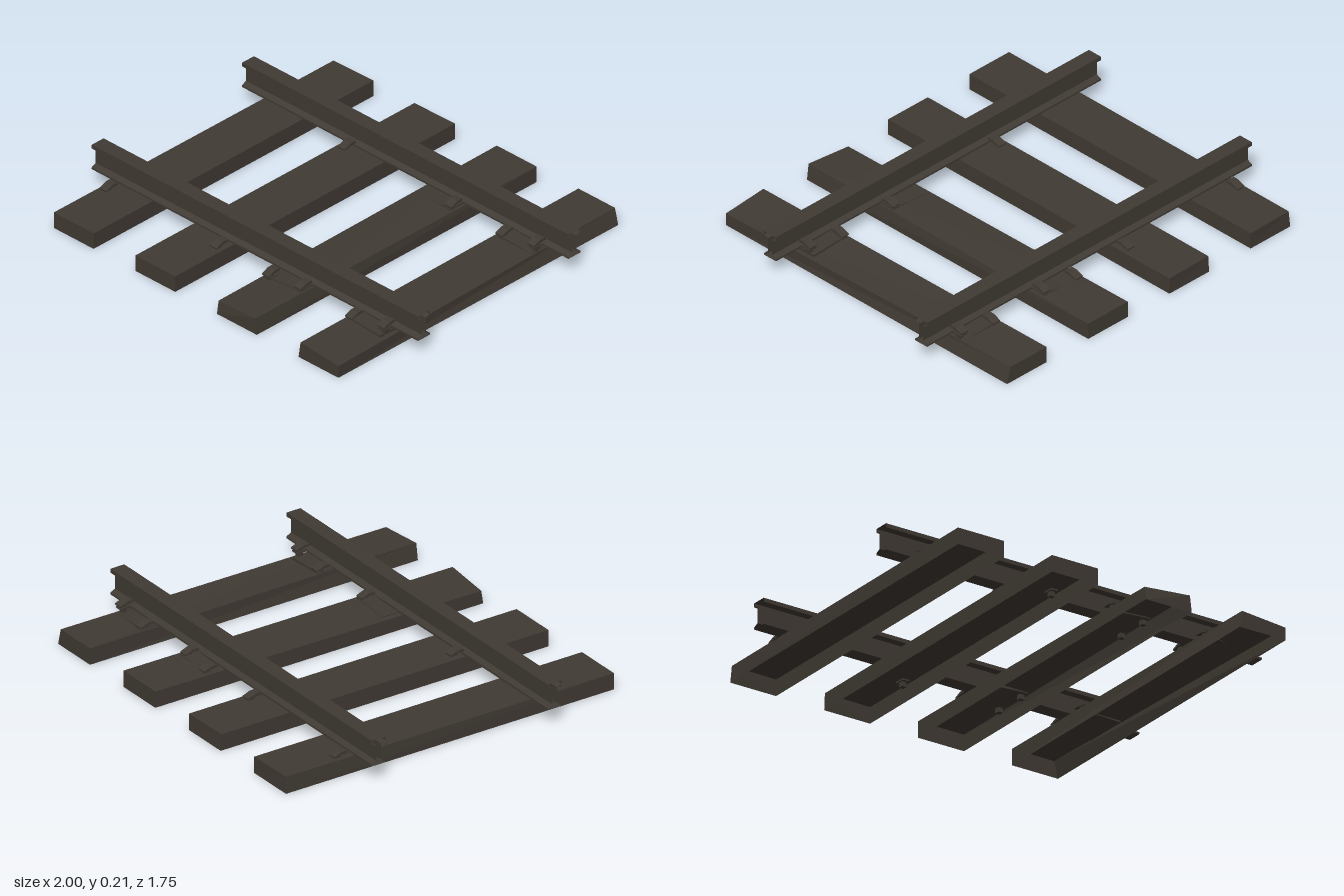
import * as THREE from 'three';

// Skin between two matching loops of points, optionally closed by the second loop (a quad)
function skin(a, b, cap) {
  const pos = [];
  const quad = (p, q, r, s) => pos.push(...p, ...q, ...r, ...p, ...r, ...s);
  a.forEach((p, i) => {
    const j = (i + 1) % a.length;
    quad(p, a[j], b[j], b[i]);
  });
  if (cap) quad(...b);
  const g = new THREE.BufferGeometry();
  g.setAttribute('position', new THREE.Float32BufferAttribute(pos, 3));
  g.computeVertexNormals();
  return g;
}

export function createModel() {
  const model = new THREE.Group();
  const dark = new THREE.MeshStandardMaterial({ color: 0x403a33, side: THREE.DoubleSide });
  dark.name = 'weathered brown';
  const add = (name, geometry, parent = model) => {
    const mesh = new THREE.Mesh(geometry, dark);
    mesh.name = name;
    parent.add(mesh);
    return mesh;
  };

  // Sleepers: hollow below, each with its own worn top corners
  // (corner order: back left, front left, front right, back right)
  const worn = [
    [[0.005, 0, 0.005], [0, 0, 0], [0, 0, 0], [0, 0, 0]],
    [[0, 0, 0.005], [0, 0, 0], [0, 0, 0], [0, 0, 0]],
    [[0, 0, 0], [0, -0.016, -0.01], [-0.01, 0, 0], [0, 0, 0]],
    [[0, 0, 0], [0.012, 0, 0], [0, -0.02, 0], [-0.02, 0, 0]],
  ];
  const corners = [[-1, -1], [-1, 1], [1, 1], [1, -1]];
  worn.forEach((shift, i) => {
    const cx = -0.75 + i * 0.5;
    const base = corners.map(([sx, sz]) => [cx + sx * 0.122, 0, sz * 0.873]);
    const top = base.map((p, k) => [p[0] + shift[k][0], 0.08 + shift[k][1], p[2] + shift[k][2]]);
    add('sleeper', skin(base, top, true));
  });

  // Rails: open-ended head, web and foot section, as [half width, height]
  const half = [[0.037, 0.207], [0.037, 0.188], [0.012, 0.18], [0.012, 0.102], [0.037, 0.09], [0.037, 0.081]];
  const section = [...half, ...half.map(([w, y]) => [-w, y]).reverse()];
  const railZ = 0.469;
  for (const side of [-1, 1]) {
    const loop = (x) => section.map(([w, y]) => [x, y, side * railZ + w]);
    add('rail', skin(loop(-1), loop(1), false));
  }

  // Spike: shank, collar and a hooked head sloping down away from the rail (local +z)
  const headShape = new THREE.Shape();
  [[-0.035, 0.024], [-0.03, 0.037], [0.0, 0.036], [0.038, 0.021], [0.036, 0.014], [0.005, 0.022]]
    .forEach(([z, y], i) => (i ? headShape.lineTo(z, y) : headShape.moveTo(z, y)));
  const headGeo = new THREE.ExtrudeGeometry(headShape, { depth: 0.042, bevelEnabled: false });
  headGeo.rotateY(-Math.PI / 2).translate(0.021, 0, 0);
  const shankGeo = new THREE.BoxGeometry(0.024, 0.05, 0.024).translate(0, 0.002, 0.008);
  const collarGeo = new THREE.BoxGeometry(0.036, 0.008, 0.05).translate(0, 0.004, 0.008);

  // Spike places: x, side of the rail (1 outer, -1 inner), distance from rail, height
  const places = [
    [-0.835, 1, 0.098, 0.072],
    [-0.33, -1, 0.064, 0.072], [-0.165, 1, 0.092, 0.072],
    [0.16, 1, 0.098, 0.072], [0.335, -1, 0.075, 0.074], [0.335, 1, 0.075, 0.074],
    [0.66, -1, 0.088, 0.076], [0.66, 1, 0.088, 0.072],
    [0.84, -1, 0.072, 0.096], [0.84, 1, 0.072, 0.096],
  ];
  for (const side of [-1, 1]) {
    for (const [x, out, gap, y] of places) {
      const spike = new THREE.Group();
      spike.name = 'spike';
      add('spikeHead', headGeo, spike);
      add('spikeShank', shankGeo, spike);
      add('spikeCollar', collarGeo, spike);
      spike.position.set(x, y, side * (railZ + out * gap));
      if (side * out < 0) spike.rotation.y = Math.PI;
      model.add(spike);
    }

    // Tie plates, slightly tilted on the two worn sleepers
    for (const [x, tilt] of [[0.255, 0.07], [0.745, -0.04]]) {
      const plate = add('tiePlate', new THREE.BoxGeometry(0.2, 0.012, 0.23));
      plate.position.set(x, 0.075, side * railZ);
      plate.rotation.z = tilt;
    }
  }
  return model;
}
